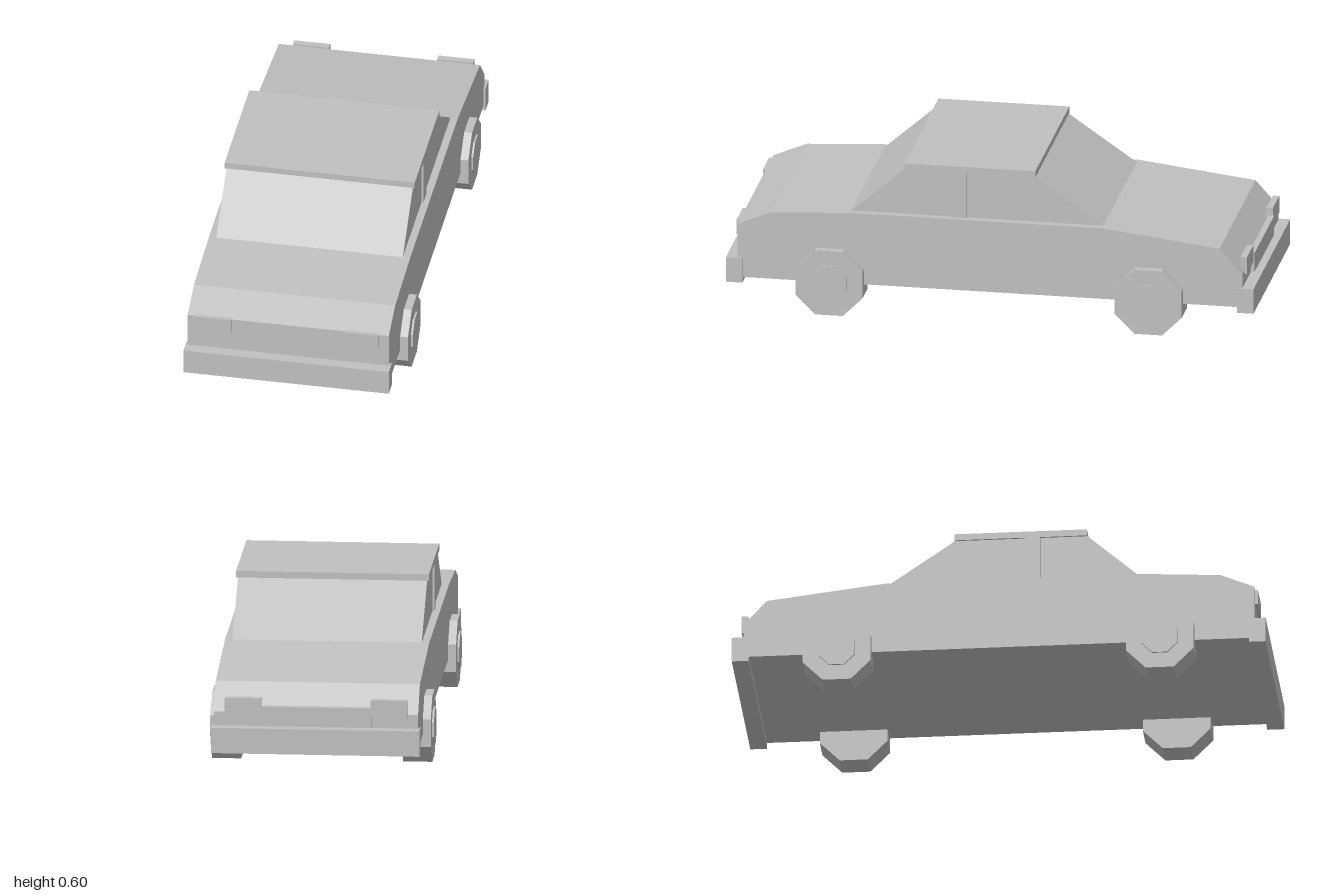
import * as THREE from 'three';

export function createModel() {
  const car = new THREE.Group();
  car.name = 'car';
  const grey = new THREE.MeshStandardMaterial({ color: 0xc0c0c0 });
  grey.name = 'grey';
  grey.flatShading = true;

  const add = (name, geometry) => {
    const mesh = new THREE.Mesh(geometry, grey);
    mesh.name = name;
    car.add(mesh);
    return mesh;
  };

  // Box given by its lower and upper limits on each axis
  const box = (name, [x0, x1], [y0, y1], [z0, z1]) =>
    add(name, new THREE.BoxGeometry(x1 - x0, y1 - y0, z1 - z0)
      .translate((x0 + x1) / 2, (y0 + y1) / 2, (z0 + z1) / 2));

  // Side profile of [z, y] points, extruded across the width
  const profile = (name, points, halfWidth) => {
    const shape = new THREE.Shape(points.map(([z, y]) => new THREE.Vector2(z, y)));
    const geometry = new THREE.ExtrudeGeometry(shape, { depth: halfWidth * 2, bevelEnabled: false });
    return add(name, geometry.translate(0, 0, -halfWidth).rotateY(-Math.PI / 2));
  };

  // Lower body with sloping bonnet and boot
  profile('body', [
    [0.957, 0.12], [0.957, 0.33], [0.83, 0.383], [0.53, 0.4],
    [-0.425, 0.4], [-0.87, 0.347], [-0.957, 0.25], [-0.957, 0.12],
  ], 0.382);

  // Glasshouse and roof
  profile('cabin', [[0.53, 0.395], [0.53, 0.4], [0.328, 0.578], [-0.165, 0.578], [-0.425, 0.4], [-0.425, 0.395]], 0.354);
  box('roof', [-0.361, 0.361], [0.577, 0.602], [-0.168, 0.328]);

  // Bumpers
  box('frontBumper', [-0.39, 0.39], [0.1, 0.197], [0.937, 1]);
  box('rearBumper', [-0.39, 0.39], [0.1, 0.197], [-1, -0.937]);
  box('rearPlate', [-0.207, 0.207], [0.2, 0.275], [-0.972, -0.95]);

  // Octagonal disc whose axis runs across the car, with flats at top and bottom
  const disc = (name, apothem, x0, x1, side, z) => add(name,
    new THREE.CylinderGeometry(apothem / Math.cos(Math.PI / 8), apothem / Math.cos(Math.PI / 8),
      x1 - x0, 8, 1, false, Math.PI / 8)
      .rotateZ(Math.PI / 2)
      .translate(side * (x0 + x1) / 2, 0.127, z));

  for (const side of [-1, 1]) {
    const label = side > 0 ? 'left' : 'right';
    const span = (a, b) => (side > 0 ? [a, b] : [-b, -a]);
    box(label + 'DoorPillar', span(0.35, 0.361), [0.397, 0.58], [0.094, 0.153]);
    box(label + 'Headlight', span(0.215, 0.345), [0.275, 0.333], [0.943, 0.967]);
    box(label + 'TailLight', span(0.205, 0.342), [0.238, 0.305], [-0.967, -0.942]);
    for (const [end, z] of [['Front', 0.605], ['Rear', -0.605]]) {
      disc(label + end + 'Wheel', 0.127, 0.303, 0.412, side, z);
      disc(label + end + 'Hub', 0.068, 0.4, 0.419, side, z);
    }
  }
  return car;
}
